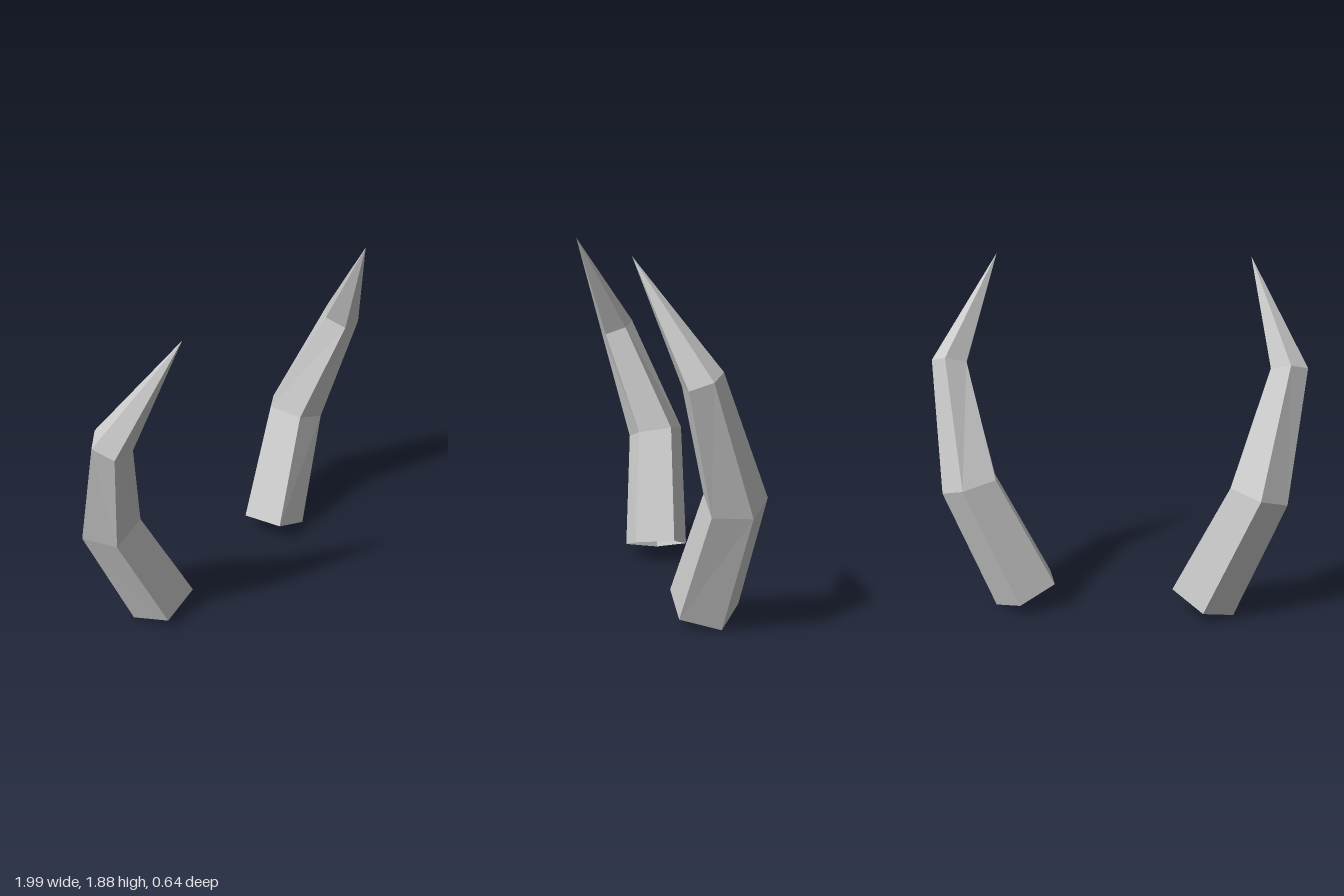
import * as THREE from 'three';

// Five-sided cross-sections of the left horn, from the open base upward
const RINGS = [
  [[0.32, 0.15, -0.16], [0.38, 0.14, 0.055], [0.59, 0.06, 0.065], [0.65, 0.005, -0.14], [0.49, 0.068, -0.28]],
  [[0.615, 0.755, -0.22], [0.66, 0.73, -0.035], [0.845, 0.665, -0.02], [0.91, 0.665, -0.205], [0.77, 0.72, -0.325]],
  [[0.805, 1.34, 0.01], [0.835, 1.3, 0.125], [0.955, 1.3, 0.127], [0.997, 1.342, 0.022], [0.905, 1.37, -0.052]],
];
const TIP = [0.69, 1.88, 0.32];

// Skin the rings and close them at the tip; side = -1 mirrors the horn
function hornGeometry(side) {
  const positions = [];
  const triangle = (a, b, c) => {
    const corners = side > 0 ? [a, b, c] : [a, c, b];
    for (const [x, y, z] of corners) positions.push(x * side, y, z);
  };
  RINGS.forEach((ring, level) => {
    const next = RINGS[level + 1];
    ring.forEach((a, i) => {
      const j = (i + 1) % ring.length;
      if (next) {
        triangle(a, ring[j], next[j]);
        triangle(a, next[j], next[i]);
      } else {
        triangle(a, ring[j], TIP);
      }
    });
  });
  const geometry = new THREE.BufferGeometry();
  geometry.setAttribute('position', new THREE.Float32BufferAttribute(positions, 3));
  geometry.computeVertexNormals();
  return geometry;
}

export function createModel() {
  const group = new THREE.Group();
  group.name = 'hornPair';

  // Open at the base, so the inside is visible
  const horn = new THREE.MeshStandardMaterial({ color: 0xcccccc, flatShading: true, side: THREE.DoubleSide });
  horn.name = 'hornGrey';

  for (const [name, side] of [['leftHorn', 1], ['rightHorn', -1]]) {
    const mesh = new THREE.Mesh(hornGeometry(side), horn);
    mesh.name = name;
    group.add(mesh);
  }
  return group;
}
